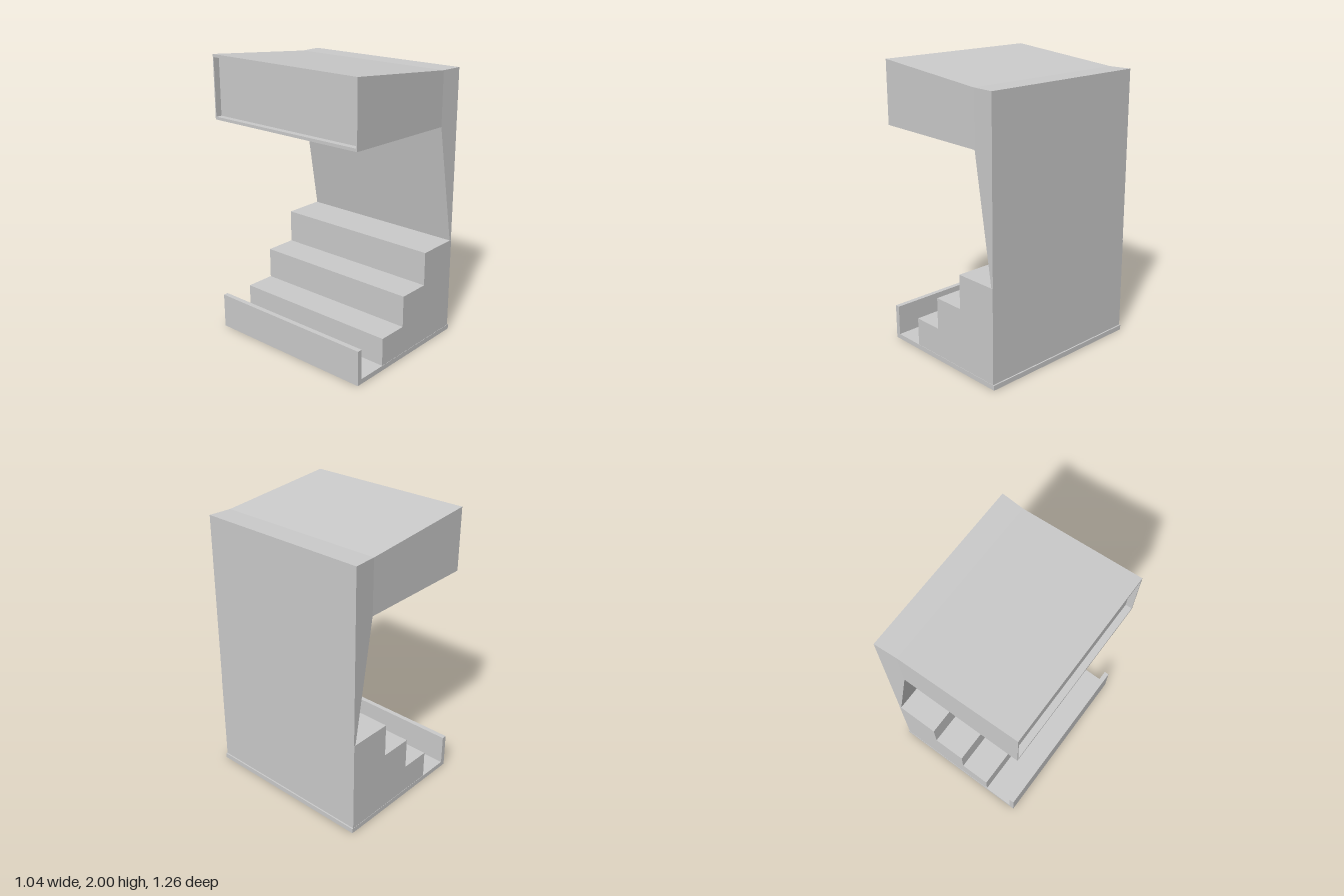
import * as THREE from 'three';

const material = new THREE.MeshStandardMaterial({ color: 0xcccccc, flatShading: true });

function add(group, name, geometry) {
  const mesh = new THREE.Mesh(geometry, material);
  mesh.name = name;
  group.add(mesh);
  return mesh;
}

// Box given by its x, y and z ranges
function box(group, name, x0, x1, y0, y1, z0, z1) {
  const mesh = add(group, name, new THREE.BoxGeometry(x1 - x0, y1 - y0, z1 - z0));
  mesh.position.set((x0 + x1) / 2, (y0 + y1) / 2, (z0 + z1) / 2);
}

// Side profile in x, y extruded from z0 to z1
function profile(group, name, points, z0, z1) {
  const shape = new THREE.Shape(points.map(([x, y]) => new THREE.Vector2(x, y)));
  const geometry = new THREE.ExtrudeGeometry(shape, { depth: z1 - z0, bevelEnabled: false });
  geometry.translate(0, 0, z0);
  return add(group, name, geometry);
}

export function createModel() {
  const model = new THREE.Group();
  model.name = 'displayStand';

  // Base tray with its front lip
  box(model, 'base', -0.515, 0.52, 0, 0.035, -0.632, 0.632);
  box(model, 'trayLip', -0.515, -0.48, 0.035, 0.25, -0.632, 0.632);

  // Stepped shelves, stacked full depth to the back
  const steps = [[-0.26, 0.035, 0.235], [-0.04, 0.235, 0.46], [0.195, 0.46, 0.7]];
  steps.forEach(([x, y0, y1], i) => box(model, 'step' + (i + 1), x, 0.51, y0, y1, -0.63, 0.63));

  // Header edges: top and bottom heights along x
  const half = 0.617, front = -0.525, panel = -0.48, knee = 0.345;
  const top = (x) => 2 - 0.08 * (x - front) / (knee - front);
  const bottom = (x) => 1.56 - 0.015 * (x - front) / (knee - front);

  // Header body
  profile(model, 'header', [
    [panel, bottom(panel)], [knee, bottom(knee)], [knee, top(knee)], [panel, top(panel)],
  ], -half, half);

  // Back column, tapering downward and flaring slightly toward the rear
  const column = profile(model, 'backColumn', [
    [0.495, 0.7], [0.51, 0.7], [0.51, 1.92], [knee, 1.92], [knee, bottom(knee)],
  ], -half, half);
  const p = column.geometry.attributes.position;
  for (let i = 0; i < p.count; i++) {
    const flare = 0.011 * (p.getX(i) - knee) / (0.51 - knee);
    p.setZ(i, p.getZ(i) + Math.sign(p.getZ(i)) * flare);
  }
  column.geometry.computeVertexNormals();

  // Thin frame around the recessed header panel
  const t = 0.02, side = 0.008;
  const strip = (name, low, high, z0, z1) => profile(model, name, [
    [front, low(front)], [panel, low(panel)], [panel, high(panel)], [front, high(front)],
  ], z0, z1);
  strip('frameTop', (x) => top(x) - t, top, -half, half);
  strip('frameBottom', bottom, (x) => bottom(x) + t, -half, half);
  strip('frameLeft', bottom, top, half - side, half);
  strip('frameRight', bottom, top, -half, -half + side);

  return model;
}
